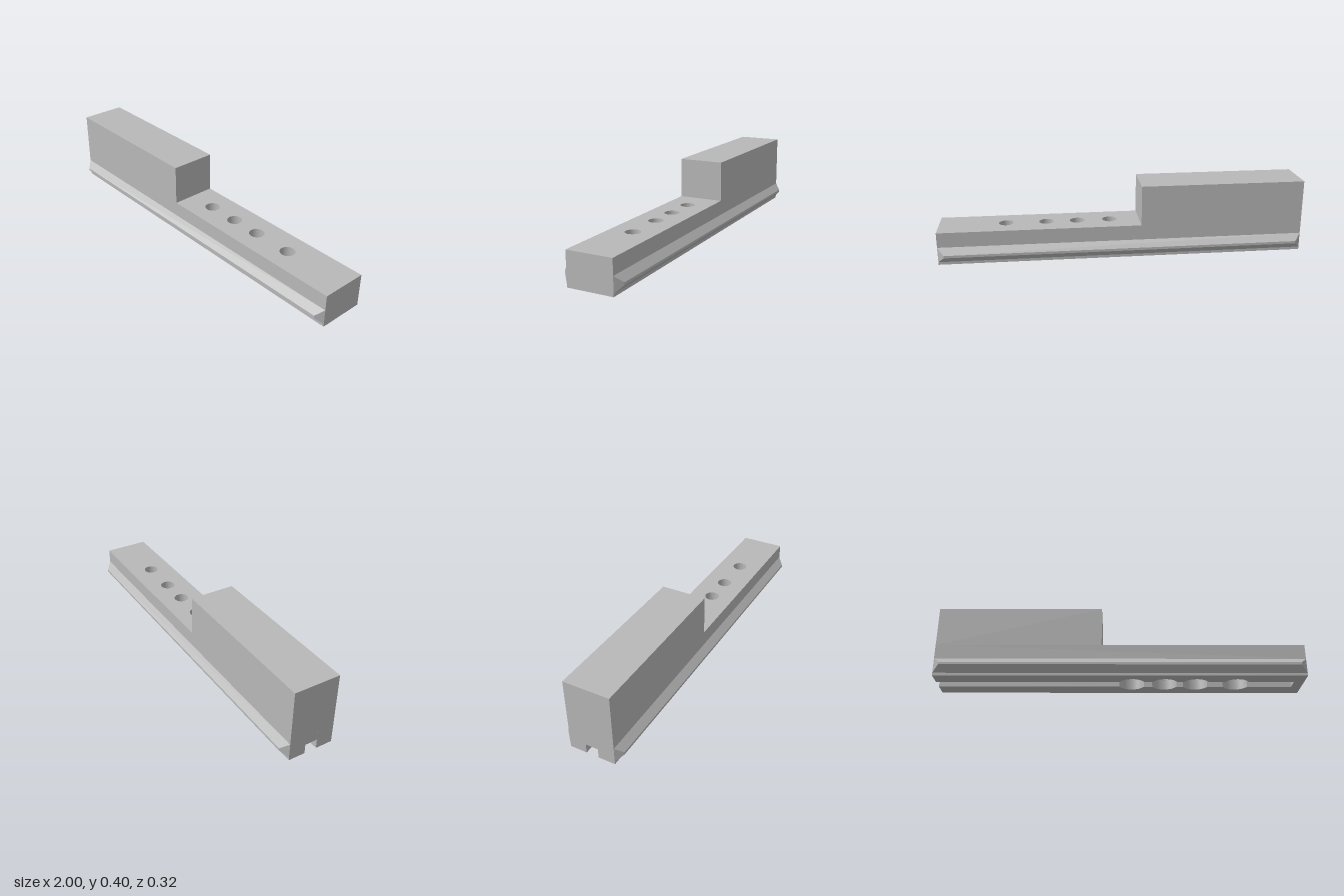
import * as THREE from 'three';

const HALF_W = 0.125;                       // half width of the bar
const SLOT = 0.034, SLOT_END = 0.945;       // groove half width and closed end
const BORE = 0.075, HOLE = 0.04;            // counterbore and screw hole radii
const HOLES = [0.065, 0.245, 0.415, 0.635]; // hole positions along x

// Extrude a plan outline (x, z) upward from y0 to y1
function slab(shape, y0, y1) {
  const g = new THREE.ExtrudeGeometry(shape, { depth: y1 - y0, bevelEnabled: false, curveSegments: 32 });
  g.rotateX(-Math.PI / 2);
  g.translate(0, y0, 0);
  return g;
}

// Bar outline with a row of round holes
function drilledPlan(radius) {
  const s = new THREE.Shape();
  s.moveTo(-1, -HALF_W);
  s.lineTo(1, -HALF_W);
  s.lineTo(1, HALF_W);
  s.lineTo(-1, HALF_W);
  s.closePath();
  for (const x of HOLES) {
    s.holes.push(new THREE.Path().absarc(x, 0, radius, 0, Math.PI * 2, true));
  }
  return s;
}

// Bar outline with a groove open at one end, widened at every counterbore
function groovedPlan() {
  const s = new THREE.Shape();
  const a = Math.asin(SLOT / BORE);
  s.moveTo(-1, -HALF_W);
  s.lineTo(1, -HALF_W);
  s.lineTo(1, HALF_W);
  s.lineTo(-1, HALF_W);
  s.lineTo(-1, SLOT);
  for (const x of HOLES) s.absarc(x, 0, BORE, Math.PI - a, a, true);
  s.lineTo(SLOT_END, SLOT);
  s.lineTo(SLOT_END, -SLOT);
  for (const x of [...HOLES].reverse()) s.absarc(x, 0, BORE, -a, a - Math.PI, true);
  s.lineTo(-1, -SLOT);
  s.closePath();
  return s;
}

// Side rail: a box whose outer face shrinks to a narrow strip
function railGeometry() {
  const g = new THREE.BoxGeometry(2, 0.083, 0.035).toNonIndexed();
  const p = g.attributes.position;
  for (let i = 0; i < p.count; i++) {
    if (p.getZ(i) > 0) p.setXY(i, p.getX(i) * 0.965, p.getY(i) * 0.16);
  }
  g.translate(0, 0.0565, HALF_W + 0.0175);
  g.computeVertexNormals();
  return g;
}

export function createModel() {
  const model = new THREE.Group();
  model.name = 'slideJaw';
  const steel = new THREE.MeshStandardMaterial({ color: 0xb8b8b8 });
  steel.name = 'grey steel';

  const add = (name, geometry) => {
    const mesh = new THREE.Mesh(geometry, steel);
    mesh.name = name;
    model.add(mesh);
    return mesh;
  };

  // Bar in three levels: groove, counterbores, screw holes
  add('groovedBase', slab(groovedPlan(), 0, 0.053));
  add('counterboredCore', slab(drilledPlan(BORE), 0.053, 0.1));
  add('drilledTop', slab(drilledPlan(HOLE), 0.1, 0.18));

  // Raised block over one end
  add('raisedBlock', new THREE.BoxGeometry(0.9, 0.22, HALF_W * 2).translate(-0.55, 0.29, 0));

  // Guide rails on both sides
  const rail = railGeometry();
  add('frontRail', rail);
  add('backRail', rail).rotation.y = Math.PI;

  return model;
}
